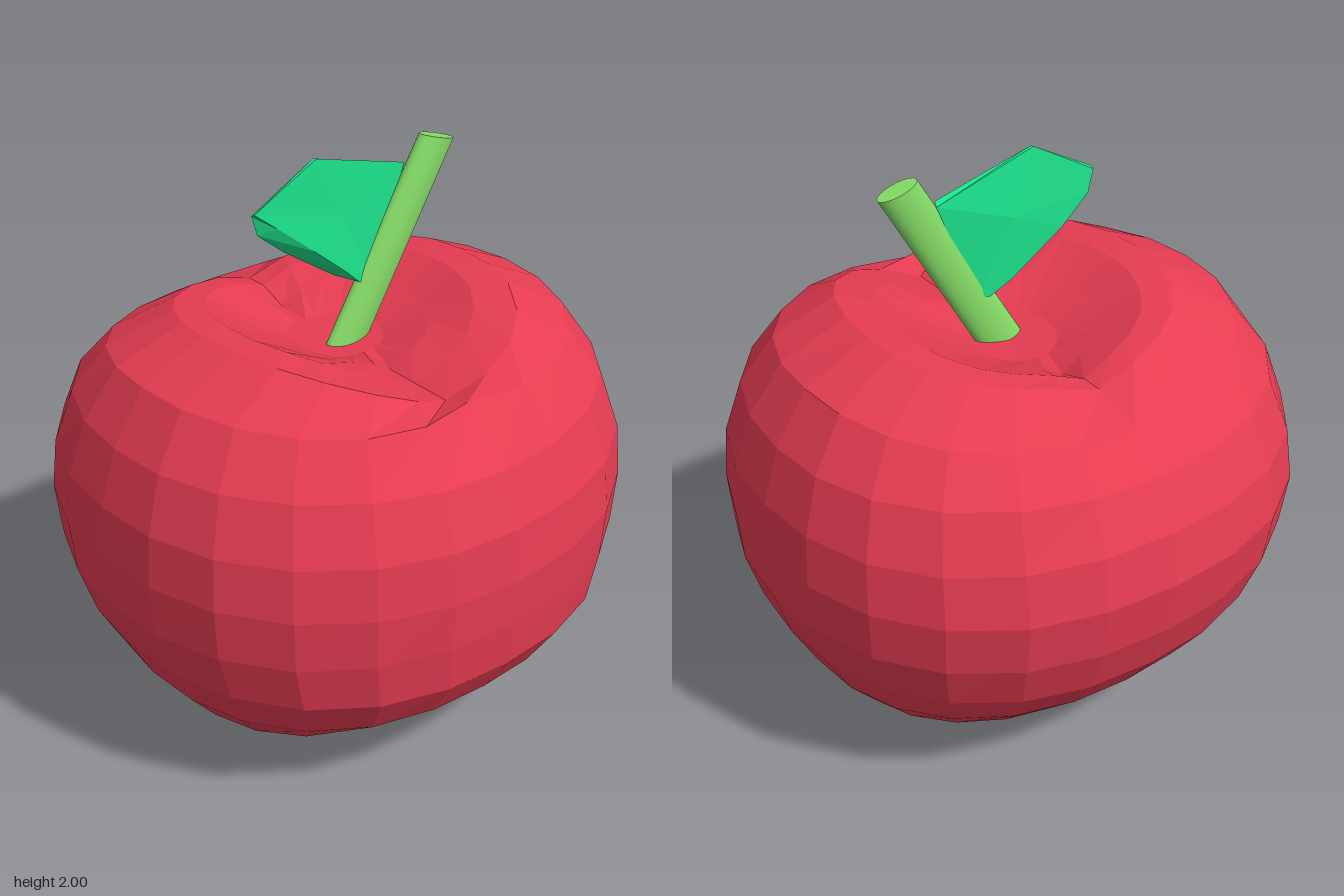
import * as THREE from 'three';

const SIDES = 24;

// Skin a stack of point loops (counter-clockwise about the stacking direction) with flat facets
function loft(loops, color, name) {
  const n = loops[0].length;
  const positions = loops.flat(2);
  const index = [];
  for (let i = 0; i < loops.length - 1; i++) {
    for (let j = 0; j < n; j++) {
      const k = (j + 1) % n;
      const a = i * n + j, b = i * n + k, c = a + n, d = b + n;
      index.push(a, b, d, a, d, c);
    }
  }
  const geometry = new THREE.BufferGeometry();
  geometry.setAttribute('position', new THREE.Float32BufferAttribute(positions, 3));
  geometry.setIndex(index);
  geometry.computeVertexNormals();
  const mesh = new THREE.Mesh(geometry, new THREE.MeshStandardMaterial({ color, flatShading: true }));
  mesh.name = name;
  return mesh;
}

// Fruit rings, bottom to top and into the hollow:
// side half width, front depth, back depth, then height at side, front and back
const RINGS = [
  [0, 0, 0, 0, 0, 0],
  [0.30, 0.22, 0.18, 0.01, 0.03, 0.01],
  [0.53, 0.42, 0.36, 0.065, 0.14, 0.065],
  [0.68, 0.62, 0.54, 0.18, 0.25, 0.18],
  [0.80, 0.78, 0.69, 0.33, 0.355, 0.33],
  [0.89, 0.88, 0.81, 0.50, 0.51, 0.49],
  [0.945, 0.90, 0.88, 0.68, 0.68, 0.68],
  [0.96, 0.91, 0.91, 0.87, 0.85, 0.88],
  [0.945, 0.89, 0.875, 1.05, 1.03, 1.06],
  [0.885, 0.82, 0.79, 1.24, 1.21, 1.22],
  [0.77, 0.71, 0.67, 1.415, 1.37, 1.33],
  [0.54, 0.60, 0.49, 1.52, 1.39, 1.44],
  [0.43, 0.44, 0.41, 1.51, 1.39, 1.44],
  [0.29, 0.30, 0.30, 1.43, 1.39, 1.40],
  [0.15, 0.15, 0.17, 1.36, 1.345, 1.345],
  [0, 0, 0, 1.335, 1.335, 1.335],
];

function createFruit() {
  const loops = RINGS.map(([side, front, back, ySide, yFront, yBack]) =>
    Array.from({ length: SIDES }, (_, j) => {
      const angle = (j / SIDES) * Math.PI * 2;
      const s = Math.sin(angle), c = Math.cos(angle);
      const upper = ySide > 1.3;
      const rim = ySide > 1.42;
      // slightly squared footprint
      const round = (Math.abs(s) ** 2.25 + Math.abs(c) ** 2.25) ** (-1 / 2.25);
      // broad dips along the top, a narrow one under the front, and a sharp cleft across the rim
      const power = !upper ? 6 : rim && c > 0 ? 4 : 2;
      const cleft = Math.abs(c) ** 40;
      const dip = ((c > 0 ? yFront : yBack) - ySide) * Math.abs(c) ** power;
      const y = ySide + dip - (rim ? 0.055 * cleft : 0);
      const notch = upper && c > 0 ? 1 - 0.1 * cleft : 1;
      return [side * s * round, y, c * round * (c > 0 ? front : back) * notch];
    }));
  return loft(loops, 0xe63c52, 'fruit');
}

// Leaning oval stem with a slanted top
function createStem() {
  const geometry = new THREE.CylinderGeometry(1, 1, 1, 20);
  const p = geometry.attributes.position;
  for (let i = 0; i < p.count; i++) {
    const u = p.getX(i), t = p.getY(i) + 0.5, v = p.getZ(i);
    p.setXYZ(i,
      -0.002 + 0.394 * t + u * (0.088 - 0.018 * t),
      1.3 + 0.672 * t - u * 0.02 * t,
      0.027 + 0.005 * t + v * 0.037);
  }
  geometry.computeVertexNormals();
  const stem = new THREE.Mesh(geometry, new THREE.MeshStandardMaterial({ color: 0x86de67 }));
  stem.name = 'stem';
  return stem;
}

// Thick leaf: a back outline and a smaller front outline
function createLeaf() {
  const back = [
    [-0.335, 1.865, -0.005], [-0.31, 1.79, -0.012], [-0.20, 1.70, -0.02], [0, 1.565, -0.015],
    [0.08, 1.525, -0.01], [0.12, 1.53, 0], [0.27, 1.89, 0.005], [-0.10, 2.0, 0.005],
  ];
  const front = [
    [-0.335, 1.872, 0.01], [-0.25, 1.805, 0.02], [-0.12, 1.70, 0.035], [0, 1.60, 0.045],
    [0.06, 1.545, 0.045], [0.12, 1.53, 0.04], [0.265, 1.905, 0.02], [-0.095, 2.0, 0.015],
  ];
  const fill = (z) => back.map(() => [0.0, 1.79, z]);
  return loft([fill(-0.02), back, front, fill(0.028)], 0x1ce08a, 'leaf');
}

export function createModel() {
  const model = new THREE.Group();
  model.name = 'apple';
  model.add(createFruit(), createStem(), createLeaf());
  return model;
}
